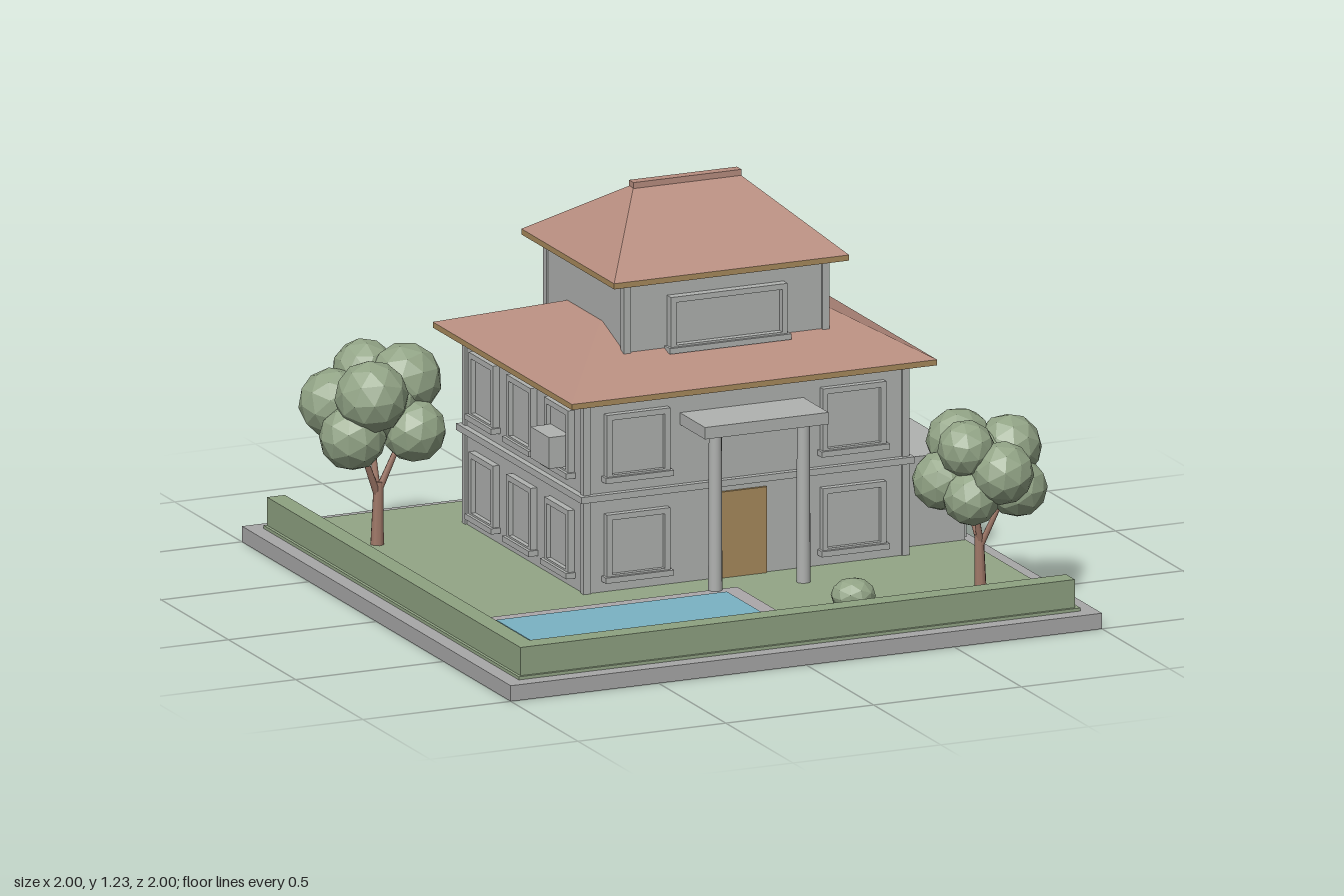
import * as THREE from 'three';

const mat = (name, color, extra = {}) => {
  const m = new THREE.MeshStandardMaterial({ color, ...extra });
  m.name = name;
  return m;
};

export function createModel() {
  const model = new THREE.Group();
  model.name = 'houseWithGarden';

  const wall = mat('wallGrey', 0xb0b2b0);
  const stone = mat('slabGrey', 0xa8a8a8);
  const grass = mat('grassGreen', 0x93a686);
  const hedgeGreen = mat('hedgeGreen', 0x8ea281);
  const tile = mat('roofTile', 0xb88e80);
  const wood = mat('woodGold', 0xa88a5c);
  const water = mat('poolWater', 0x7ab2c4);
  const paving = mat('poolPaving', 0xaca8aa);
  const bark = mat('bark', 0x9f7868);
  const leaf = mat('leafGreen', 0x92a486, { flatShading: true });

  const add = (name, geo, material, parent = model) => {
    const m = new THREE.Mesh(geo, material);
    m.name = name;
    parent.add(m);
    return m;
  };
  // Box given by its minimum and maximum on each axis
  const box = (name, x0, x1, y0, y1, z0, z1, material, parent) => {
    const g = new THREE.BoxGeometry(x1 - x0, y1 - y0, z1 - z0);
    g.translate((x0 + x1) / 2, (y0 + y1) / 2, (z0 + z1) / 2);
    return add(name, g, material, parent);
  };

  // Ground, lawn and hedges
  box('baseSlab', -1, 1, 0, 0.05, -1, 1, stone);
  box('lawn', -0.95, 0.95, 0.05, 0.06, -0.95, 0.95, grass);
  box('frontHedge', -0.94, 0.935, 0.06, 0.15, 0.875, 0.94, hedgeGreen);
  box('sideHedge', -0.94, -0.88, 0.06, 0.15, -0.945, 0.875, hedgeGreen);

  // Pool
  box('poolBorder', -0.825, 0.075, 0.06, 0.068, 0.32, 0.82, paving);
  box('poolWater', -0.765, 0.015, 0.067, 0.074, 0.375, 0.755, water);

  // House body with corner posts; each storey block is [x0, x1, y0, y1, z0, z1]
  const storey = (name, x0, x1, y0, y1, z0, z1) => {
    box(name, x0, x1, y0, y1, z0, z1, wall);
    const w = 0.018, out = 0.006;
    for (const [x, sx] of [[x0, 1], [x1, -1]])
      for (const [z, sz] of [[z0, 1], [z1, -1]]) {
        const xs = [x - sx * out, x + sx * w], zs = [z - sz * out, z + sz * w];
        box('cornerPost', Math.min(...xs), Math.max(...xs), y0, y1,
          Math.min(...zs), Math.max(...zs), wall);
      }
  };
  storey('lowerStoreys', -0.375, 0.715, 0.06, 0.68, -0.72, 0.175);
  storey('upperStorey', -0.172, 0.512, 0.72, 1.0, -0.562, 0.027);
  box('floorBand', -0.395, 0.732, 0.355, 0.376, -0.738, 0.195, wall);

  // Hipped roof: sloping loft from an eaves rectangle to a top rectangle
  const hipRoof = (name, [ax0, ax1, az0, az1, ay], [bx0, bx1, bz0, bz1, by]) => {
    const ring = (x0, x1, z0, z1, y) => [[x0, y, z1], [x1, y, z1], [x1, y, z0], [x0, y, z0]];
    const a = ring(ax0, ax1, az0, az1, ay), b = ring(bx0, bx1, bz0, bz1, by);
    const pos = [];
    const quad = (p, q, r, s) => pos.push(...p, ...q, ...r, ...p, ...r, ...s);
    for (let i = 0; i < 4; i++) {
      const j = (i + 1) % 4;
      quad(a[i], a[j], b[j], b[i]);
    }
    quad(...b);
    const g = new THREE.BufferGeometry();
    g.setAttribute('position', new THREE.Float32BufferAttribute(pos, 3));
    g.computeVertexNormals();
    add(name, g, tile);
    box(name + 'Eaves', ax0, ax1, ay - 0.018, ay, az0, az1, wood);
  };
  hipRoof('lowerRoof', [-0.45, 0.785, -0.79, 0.245, 0.693], [-0.178, 0.516, -0.4, -0.14, 0.83]);
  hipRoof('upperRoof', [-0.23, 0.565, -0.615, 0.075, 1.01], [-0.015, 0.348, -0.285, -0.255, 1.207]);
  box('roofRidge', -0.015, 0.35, 1.205, 1.225, -0.287, -0.253, tile);

  // Window: frame with a hole, pane and sill, facing local +z
  const windowAt = (x, y, z, w, h, turn, depth = 0.022) => {
    const g = new THREE.Group();
    g.name = 'window';
    const t = 0.018;
    const rect = (path, a, b) => path.moveTo(-a, -b).lineTo(a, -b).lineTo(a, b).lineTo(-a, b).closePath();
    const shape = rect(new THREE.Shape(), w / 2, h / 2);
    shape.holes.push(rect(new THREE.Path(), w / 2 - t, h / 2 - t));
    add('windowFrame', new THREE.ExtrudeGeometry(shape, { depth, bevelEnabled: false }), wall, g);
    box('windowPane', -w / 2 + t, w / 2 - t, -h / 2 + t, h / 2 - t, 0, 0.007, wall, g);
    box('windowSill', -w / 2 - 0.008, w / 2 + 0.008, -h / 2 - 0.006, -h / 2 + 0.012, 0, depth + 0.01, wall, g);
    g.position.set(x, y, z);
    g.rotation.y = turn;
    model.add(g);
  };
  const sideZ = [0.01, -0.27, -0.55];
  for (const y of [0.205, 0.524]) {
    for (const x of [-0.202, 0.528]) {
      windowAt(x, y, 0.175, 0.215, 0.21, 0);
      windowAt(x, y, -0.72, 0.215, 0.21, Math.PI);
    }
    for (const z of sideZ) {
      windowAt(-0.375, y, z, 0.18, 0.21, -Math.PI / 2);
      if (y > 0.4 || z < -0.5) windowAt(0.715, y, z, 0.18, 0.21, Math.PI / 2);
    }
  }
  windowAt(0.168, 0.852, 0.027, 0.395, 0.172, 0, 0.03);
  windowAt(0.168, 0.852, -0.562, 0.395, 0.172, Math.PI, 0.03);

  // Cooling units on the walls
  box('coolingUnitSide', -0.452, -0.375, 0.445, 0.545, -0.06, 0.08, wall);
  box('coolingUnitBack', -0.272, -0.132, 0.445, 0.545, -0.79, -0.72, wall);
  box('coolingUnitTop', 0.098, 0.238, 0.772, 0.87, -0.638, -0.562, wall);

  // Entrance: door, porch canopy and columns
  box('frontDoor', 0.08, 0.238, 0.06, 0.335, 0.17, 0.184, wood);
  box('porchCanopy', -0.053, 0.365, 0.565, 0.603, 0.17, 0.362, wall);
  for (const x of [0, 0.298]) {
    const column = add('porchColumn', new THREE.CylinderGeometry(0.02, 0.022, 0.507, 16), wall);
    column.position.set(x, 0.313, 0.322);
  }

  // Garage with a raised side panel
  box('garage', 0.715, 0.948, 0.06, 0.345, -0.505, 0.095, wall);
  box('garagePanel', 0.948, 0.957, 0.066, 0.337, -0.496, 0.087, wall);

  // Trees: tapered trunk, branches and a cluster of faceted leaf clumps
  const clumps = [
    [-0.11, 0.37, 0.06, 0.105], [0.08, 0.38, 0.1, 0.1], [-0.06, 0.5, 0.09, 0.115],
    [0.09, 0.52, 0.01, 0.115], [-0.12, 0.45, -0.06, 0.11], [0.1, 0.4, -0.09, 0.105],
    [0, 0.53, -0.1, 0.1], [-0.02, 0.36, -0.1, 0.1], [0.01, 0.45, 0.01, 0.13],
  ];
  const limb = (from, to, r0, r1, parent) => {
    const a = new THREE.Vector3(...from), b = new THREE.Vector3(...to);
    const d = b.clone().sub(a);
    const m = add('branch', new THREE.CylinderGeometry(r1, r0, d.length(), 8), bark, parent);
    m.position.copy(a).addScaledVector(d, 0.5);
    m.quaternion.setFromUnitVectors(new THREE.Vector3(0, 1, 0), d.normalize());
    return m;
  };
  const tree = (x, z, s, turn) => {
    const g = new THREE.Group();
    g.name = 'tree';
    limb([0, 0, 0], [0.005, 0.2, 0], 0.022, 0.016, g).name = 'trunk';
    limb([0, 0.16, 0], [-0.07, 0.33, 0.03], 0.012, 0.008, g);
    limb([0, 0.16, 0], [0.07, 0.33, 0.02], 0.012, 0.008, g);
    limb([0, 0.17, 0], [0, 0.36, -0.05], 0.012, 0.008, g);
    clumps.forEach(([cx, cy, cz, r], i) => {
      const m = add('leafClump', new THREE.IcosahedronGeometry(r, 1), leaf, g);
      m.position.set(cx, cy, cz);
      m.rotation.set(i * 0.7, i * 1.3, i * 0.4);
    });
    g.position.set(x, 0.06, z);
    g.scale.setScalar(s);
    g.rotation.y = turn;
    model.add(g);
  };
  tree(-0.72, -0.61, 1, 0);
  tree(0.75, 0.645, 0.9, 2.2);

  // Round bush
  const bush = add('bush', new THREE.IcosahedronGeometry(0.07, 1), leaf);
  bush.position.set(0.297, 0.112, 0.695);
  bush.scale.y = 0.78;

  return model;
}
